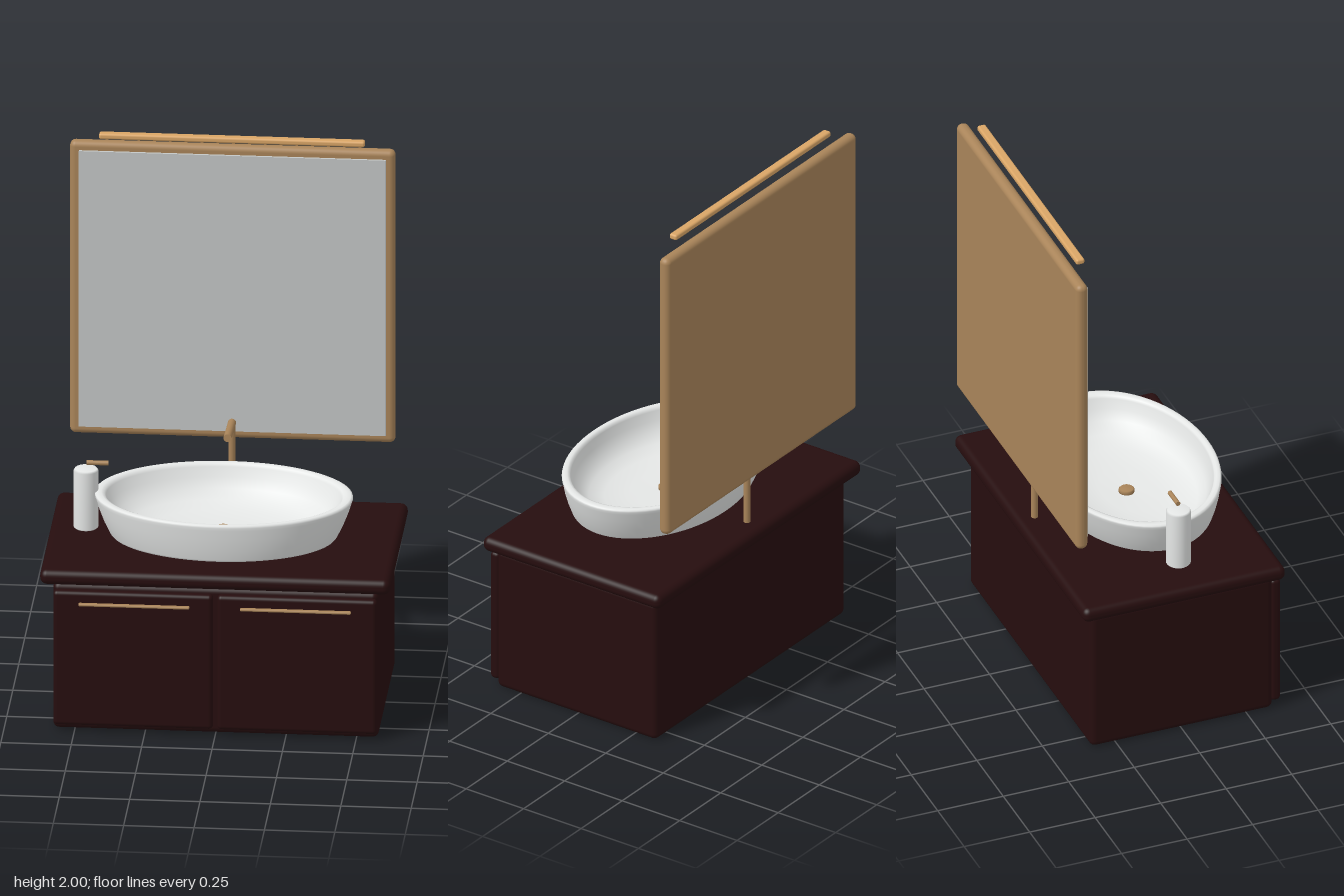
import * as THREE from 'three';
import { RoundedBoxGeometry } from 'three/addons/geometries/RoundedBoxGeometry.js';

const material = (name, color) => {
  const m = new THREE.MeshStandardMaterial({ color });
  m.name = name;
  return m;
};

export function createModel() {
  const group = new THREE.Group();
  const darkWood = material('dark wood', 0x260d0e);
  const brass = material('brass', 0xa98459);
  const lightBrass = material('light brass', 0xd9a566);
  const glass = material('mirror glass', 0xc4c7c6);
  const ceramic = material('ceramic', 0xeceeed);

  const add = (name, geometry, mat, x = 0, y = 0, z = 0) => {
    const mesh = new THREE.Mesh(geometry, mat);
    mesh.name = name;
    mesh.position.set(x, y, z);
    group.add(mesh);
    return mesh;
  };

  // Rounded box given by its minimum and maximum corners
  const box = (name, mat, [x0, y0, z0], [x1, y1, z1], radius) =>
    add(name, new RoundedBoxGeometry(x1 - x0, y1 - y0, z1 - z0, 4, radius), mat,
      (x0 + x1) / 2, (y0 + y1) / 2, (z0 + z1) / 2);

  // Round rod between two points
  const rod = (name, mat, from, to, radius) => {
    const a = new THREE.Vector3(...from), b = new THREE.Vector3(...to);
    const d = b.clone().sub(a);
    const mesh = add(name, new THREE.CylinderGeometry(radius, radius, d.length(), 20), mat);
    mesh.position.copy(a).add(b).multiplyScalar(0.5);
    mesh.quaternion.setFromUnitVectors(new THREE.Vector3(0, 1, 0), d.normalize());
    return mesh;
  };

  // Cabinet and countertop
  box('cabinet', darkWood, [-0.578, 0, -0.345], [0.578, 0.553, 0.35], 0.022);
  box('countertop', darkWood, [-0.622, 0.556, -0.388], [0.622, 0.612, 0.384], 0.025);

  // Doors with slim handles
  for (const s of [-1, 1]) {
    const xs = [s * 0.008, s * 0.575].sort((a, b) => a - b);
    box('door', darkWood, [xs[0], 0.025, 0.343], [xs[1], 0.535, 0.381], 0.015);
    const hx = s * 0.287;
    box('doorHandle', brass, [hx - 0.197, 0.486, 0.376], [hx + 0.197, 0.495, 0.396], 0.004);
  }

  // Oval basin: outer wall, rolled rim, inner bowl
  const profile = [
    [0, 0.614], [0.2, 0.615], [0.25, 0.617], [0.39, 0.636], [0.4, 0.639], [0.405, 0.645],
    [0.425, 0.685], [0.443, 0.73], [0.454, 0.765], [0.458, 0.776], [0.457, 0.783], [0.45, 0.786],
    [0.435, 0.786], [0.424, 0.782], [0.418, 0.773], [0.402, 0.74], [0.375, 0.705],
    [0.33, 0.675], [0.26, 0.657], [0.15, 0.648], [0, 0.645],
  ].map(([r, y]) => new THREE.Vector2(r, y));
  const bowl = new THREE.LatheGeometry(profile, 72);
  bowl.scale(1, 1, 0.683);
  bowl.translate(0, -0.785, 0);
  bowl.applyMatrix4(new THREE.Matrix4().makeShear(0, 0, 0, -0.09, 0, 0));
  add('basin', bowl, ceramic, 0.002, 0.785, 0.023);

  // Drain plug
  const plug = [[0, -0.01], [0.028, -0.01], [0.028, 0.008], [0.024, 0.012], [0, 0.013]]
    .map(([r, y]) => new THREE.Vector2(r, y));
  add('drainPlug', new THREE.LatheGeometry(plug, 28), brass, 0, 0.648, 0.023);

  // Tap: upright pipe and slightly rising spout
  rod('tapPipe', brass, [0, 0.625, -0.328], [0, 0.915, -0.328], 0.0125);
  rod('tapSpout', brass, [0, 0.911, -0.338], [0, 0.928, -0.146], 0.0145);

  // Soap dispenser with lever
  const bottle = [[0, 0], [0.039, 0], [0.044, 0.005], [0.044, 0.218], [0.039, 0.225], [0, 0.225]]
    .map(([r, y]) => new THREE.Vector2(r, y));
  add('soapDispenser', new THREE.LatheGeometry(bottle, 32), ceramic, -0.488, 0.64, 0.024);
  rod('dispenserLever', brass, [-0.486, 0.887, 0.024], [-0.408, 0.887, 0.024], 0.0085);

  // Mirror with its backing frame and the lamp bar above
  box('mirrorFrame', brass, [-0.578, 0.843, -0.398], [0.578, 1.957, -0.353], 0.021);
  add('mirrorGlass', new THREE.BoxGeometry(1.09, 1.05, 0.012), glass, 0, 1.4, -0.35);
  box('lampBar', lightBrass, [-0.472, 1.978, -0.358], [0.472, 2, -0.326], 0.008);

  return group;
}
